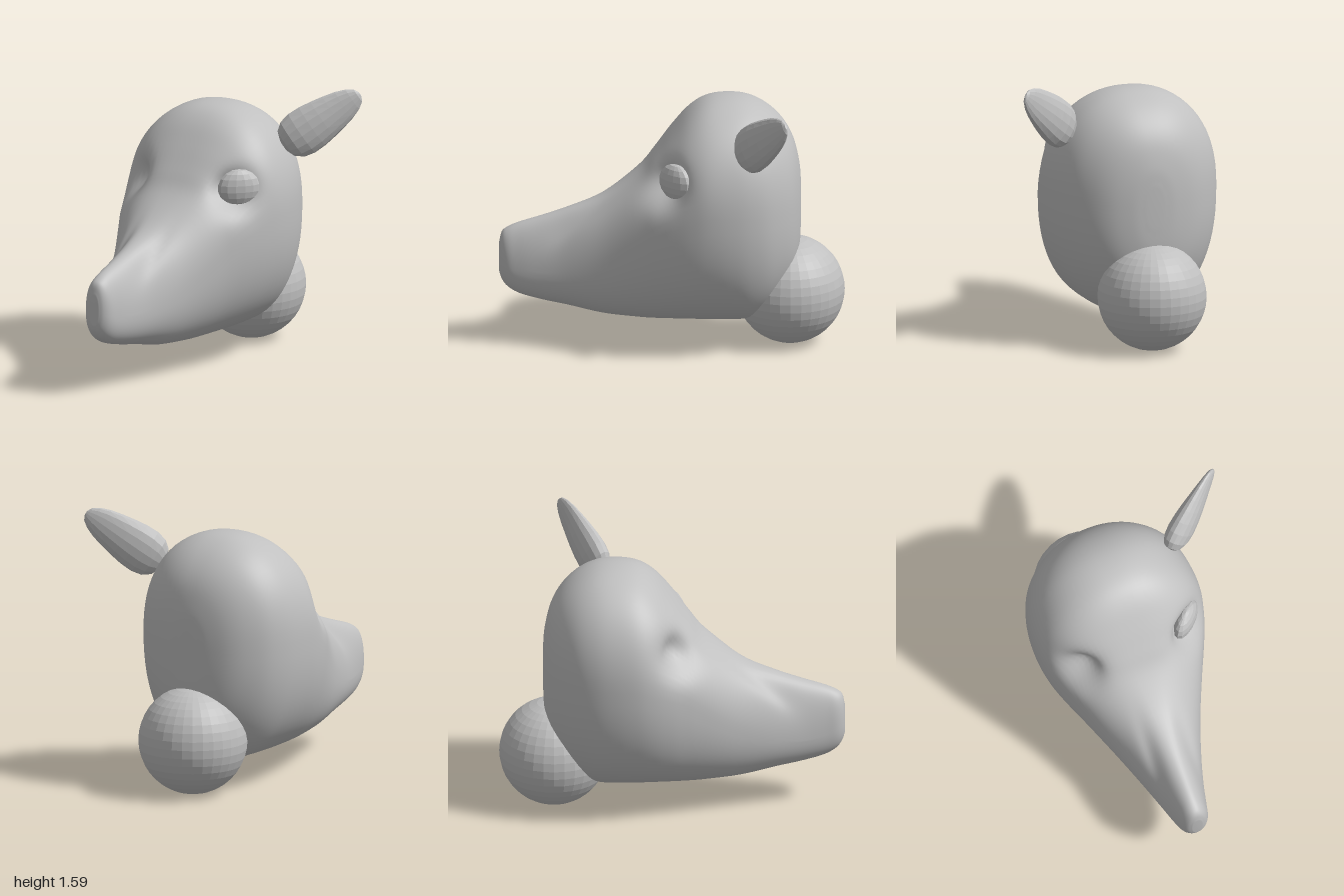
import * as THREE from 'three';

const CX = -0.135; // symmetry plane of the head

// Skin a list of closed rings (arrays of Vector3) and close both ends.
function loft(rings) {
  const n = rings[0].length, pos = [], idx = [];
  const centre = (r) => r.reduce((s, p) => s.add(p), new THREE.Vector3()).divideScalar(n);
  rings.forEach((r) => r.forEach((p) => pos.push(p.x, p.y, p.z)));
  const last = (rings.length - 1) * n, first = pos.length / 3;
  pos.push(...centre(rings[0]).toArray(), ...centre(rings[rings.length - 1]).toArray());
  for (let j = 0; j < n; j++) {
    const k = (j + 1) % n;
    for (let i = 0; i < rings.length - 1; i++) {
      const a = i * n + j, b = i * n + k;
      idx.push(a, a + n, b, b, a + n, b + n);
    }
    idx.push(first, j, k, first + 1, last + k, last + j);
  }
  const g = new THREE.BufferGeometry();
  g.setAttribute('position', new THREE.Float32BufferAttribute(pos, 3));
  g.setIndex(idx);
  g.computeVertexNormals();
  return g;
}

// Faceted copy of a geometry.
function faceted(g) {
  const f = g.toNonIndexed();
  f.computeVertexNormals();
  return f;
}

// Bell-shaped weight, 1 where every offset is zero.
const bell = (...offsets) => Math.exp(-offsets.reduce((s, o) => s + o * o, 0));

function headGeometry() {
  // z, half width, height of widest point, bottom, top, roundness of the upper half
  const rows = [
    [1.0, 0.03, 0.52, 0.43, 0.61, 2.2],
    [0.985, 0.06, 0.51, 0.385, 0.67, 2.2],
    [0.95, 0.085, 0.49, 0.34, 0.70, 2.2],
    [0.88, 0.105, 0.46, 0.30, 0.73, 2.1],
    [0.75, 0.14, 0.45, 0.265, 0.77, 2.0],
    [0.6, 0.187, 0.47, 0.235, 0.82, 2.0],
    [0.4, 0.262, 0.55, 0.19, 0.90, 2.2],
    [0.2, 0.355, 0.69, 0.17, 1.04, 2.4],
    [0.1, 0.405, 0.77, 0.165, 1.16, 2.45],
    [0, 0.452, 0.82, 0.165, 1.29, 2.4],
    [-0.1, 0.488, 0.86, 0.165, 1.405, 2.3],
    [-0.2, 0.508, 0.9, 0.163, 1.47, 2.2],
    [-0.32, 0.507, 0.9, 0.163, 1.49, 2.2],
    [-0.44, 0.485, 0.9, 0.17, 1.475, 2.25],
    [-0.55, 0.435, 0.89, 0.24, 1.42, 2.3],
    [-0.64, 0.35, 0.88, 0.34, 1.335, 2.3],
    [-0.7, 0.255, 0.87, 0.44, 1.23, 2.2],
    [-0.735, 0.14, 0.86, 0.58, 1.09, 2.1],
    [-0.745, 0.05, 0.86, 0.74, 0.97, 2],
  ];
  const curve = (k) => new THREE.CatmullRomCurve3(
    rows.map((r) => new THREE.Vector3(r[k], r[k + 1], r[k + 2])), false, 'catmullrom', 0.5);
  const c1 = curve(0), c2 = curve(3);
  const rings = [], steps = 90, sides = 72;
  for (let i = 0; i <= steps; i++) {
    const { x: z, y: hw, z: mid } = c1.getPoint(i / steps);
    const { x: bottom, y: top, z: round } = c2.getPoint(i / steps);
    const ring = [];
    for (let j = 0; j < sides; j++) {
      const t = (j / sides) * Math.PI * 2, c = Math.cos(t), s = Math.sin(t);
      const e = 2 / (s > 0 ? round : 2.3);
      const dx = Math.sign(c) * Math.pow(Math.abs(c), e) * hw, ax = Math.abs(dx);
      const dy = Math.pow(Math.abs(s), e) * (s > 0 ? top - mid : bottom - mid);
      const p = new THREE.Vector3(dx, mid + dy, z);
      // Eye sockets, pressed inward on both sides
      const dent = bell((ax - 0.35) / 0.12, (p.y - 1.06) / 0.115, (z - 0.05) / 0.125);
      p.x -= Math.sign(dx) * 0.085 * dent;
      p.z -= 0.075 * dent;
      // Grooves beside the nose ridge
      if (s > 0) p.y -= 0.035 * bell((ax - 0.115) / 0.04, (z - 0.62) / 0.18);
      p.x += CX;
      ring.push(p);
    }
    rings.push(ring);
  }
  return loft(rings);
}

function earGeometry() {
  const base = new THREE.Vector3(0.29, 1.275, -0.41), tip = new THREE.Vector3(0.622, 1.552, -0.643);
  const axis = tip.clone().sub(base).normalize();
  const thin = new THREE.Vector3(-0.56, 0, -0.83).normalize();
  const wide = thin.clone().cross(axis).normalize();
  // position along the ear, half width, half thickness
  const rows = [[-0.06, 0.04, 0.028], [-0.02, 0.09, 0.052], [0.07, 0.125, 0.068], [0.2, 0.139, 0.072], [0.35, 0.137, 0.067],
    [0.5, 0.126, 0.058], [0.65, 0.112, 0.046], [0.8, 0.094, 0.034], [0.92, 0.071, 0.024], [1, 0.044, 0.015], [1.03, 0.015, 0.006]];
  return loft(rows.map(([f, w, d]) => Array.from({ length: 16 }, (_, j) => {
    const t = (j / 16) * Math.PI * 2;
    return base.clone().lerp(tip, f).addScaledVector(thin, Math.cos(t) * d).addScaledVector(wide, Math.sin(t) * w);
  })));
}

export function createModel() {
  const grey = new THREE.MeshStandardMaterial({ color: 0xc0c0c0 });
  grey.name = 'clayGrey';
  const group = new THREE.Group();
  group.name = 'animalHead';
  const add = (name, geometry) => {
    const mesh = new THREE.Mesh(geometry, grey);
    mesh.name = name;
    group.add(mesh);
    return mesh;
  };

  add('head', headGeometry());
  add('leftEar', faceted(earGeometry()));

  // Neck ball behind the jaw
  add('neck', faceted(new THREE.SphereGeometry(0.316, 32, 20))).position.set(CX, 0.318, -0.682);

  // Single flattened eye, turned outward in the left socket
  const eye = add('leftEye', faceted(new THREE.SphereGeometry(1, 14, 9)));
  eye.scale.set(0.125, 0.11, 0.055);
  eye.rotation.y = Math.PI / 4;
  eye.position.set(0.207, 1.08, -0.018);

  return group;
}
